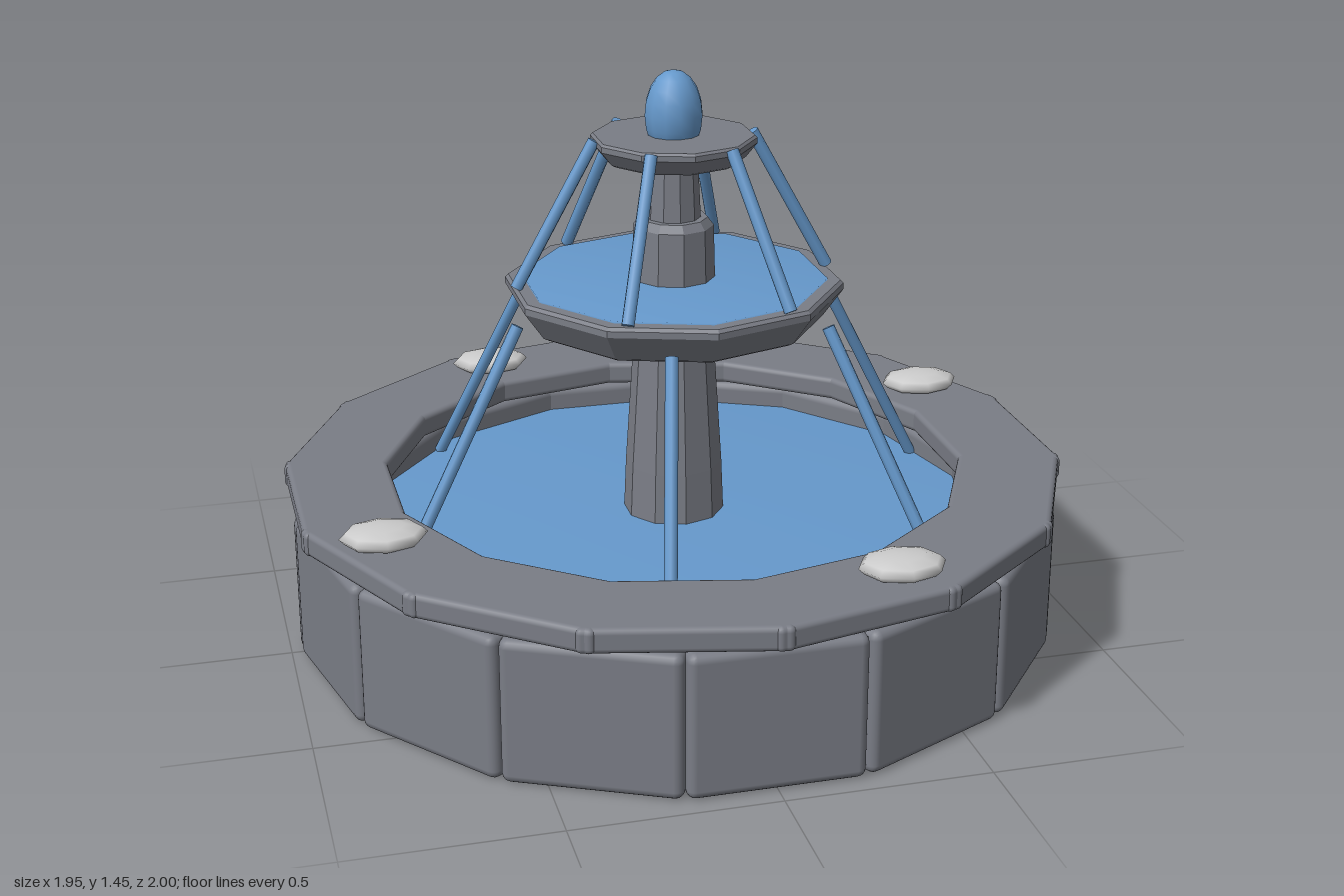
import * as THREE from 'three';
import { RoundedBoxGeometry } from 'three/addons/geometries/RoundedBoxGeometry.js';
import { mergeVertices } from 'three/addons/utils/BufferGeometryUtils.js';

const SIDES = 14;
const STEP = (Math.PI * 2) / SIDES;

export function createModel() {
  const model = new THREE.Group();
  model.name = 'fountain';

  const stone = new THREE.MeshStandardMaterial({ color: 0x7a7d86 });
  const cutStone = new THREE.MeshStandardMaterial({ color: 0x7a7d86, flatShading: true });
  const blue = new THREE.MeshStandardMaterial({ color: 0x6699cc });
  const white = new THREE.MeshStandardMaterial({ color: 0xf2f2f2 });

  const add = (name, geometry, material, parent = model) => {
    const mesh = new THREE.Mesh(geometry, material);
    mesh.name = name;
    parent.add(mesh);
    return mesh;
  };

  // Ring of rounded blocks whose outer faces lie at the given distance from the axis
  const blockRing = (name, outer, depth, width, bottom, top, radius, offset) => {
    const ring = new THREE.Group();
    ring.name = name;
    model.add(ring);
    const block = new RoundedBoxGeometry(width, top - bottom, depth, 2, radius);
    for (let i = 0; i < SIDES; i++) {
      const a = (i + offset) * STEP;
      const r = outer - depth / 2;
      const mesh = add(name + 'Block', block, stone, ring);
      mesh.position.set(Math.sin(a) * r, (bottom + top) / 2, Math.cos(a) * r);
      mesh.rotation.y = a;
    }
  };

  // Thin disc with softly rounded shading
  const softDisc = (name, radius, bottom, top, sides, material) => {
    let g = new THREE.CylinderGeometry(radius, radius, top - bottom, sides);
    g.deleteAttribute('normal');
    g.deleteAttribute('uv');
    g = mergeVertices(g);
    g.computeVertexNormals();
    add(name, g, material).position.y = (bottom + top) / 2;
  };

  // Ten-sided turned stone part from [radius, height] pairs, bottom to top
  const turned = (name, points) =>
    add(name, new THREE.LatheGeometry(points.map(([r, y]) => new THREE.Vector2(r, y)), 10), cutStone);

  // Six water jets between two [radius, height] ends
  const jets = (name, [r0, y0], [r1, y1], startAngle) => {
    const group = new THREE.Group();
    group.name = name;
    model.add(group);
    const length = Math.hypot(r1 - r0, y1 - y0);
    const jet = new THREE.CylinderGeometry(0.016, 0.016, length, 8);
    jet.rotateZ(Math.atan2(r1 - r0, y0 - y1));
    jet.translate((r0 + r1) / 2, (y0 + y1) / 2, 0);
    for (let i = 0; i < 6; i++) {
      add(name + 'Jet', jet, blue, group).rotation.y = -(startAngle + (i * Math.PI) / 3);
    }
  };

  // Pool: wall blocks, overlapping coping blocks, floor and water
  blockRing('poolWall', 0.955, 0.205, 0.424, 0, 0.362, 0.022, 0);
  blockRing('poolRim', 0.972, 0.255, 0.484, 0.368, 0.43, 0.014, 0.5);
  softDisc('poolFloor', 0.8, 0.008, 0.04, 28, stone);
  softDisc('poolWater', 0.8, 0.27, 0.3, 28, blue);

  // Central column in three tapering stages
  turned('lowerColumn', [[0, 0.26], [0.13, 0.26], [0.123, 0.43], [0.097, 0.83], [0, 0.83]]);
  turned('middleColumn', [[0, 0.88], [0.105, 0.88], [0.1, 1.06], [0.085, 1.08], [0, 1.08]]);
  turned('upperColumn', [[0, 1.07], [0.068, 1.07], [0.06, 1.235], [0, 1.235]]);

  // Middle basin and its water
  turned('middleBasin', [
    [0, 0.82], [0.36, 0.82], [0.375, 0.828], [0.425, 0.898], [0.425, 0.914],
    [0.417, 0.922], [0.385, 0.922], [0.37, 0.9], [0, 0.9],
  ]);
  softDisc('middleWater', 0.385, 0.895, 0.926, 10, blue);

  // Top plate and finial
  turned('topPlate', [
    [0, 1.228], [0.165, 1.228], [0.178, 1.235], [0.206, 1.27], [0.206, 1.284], [0.2, 1.29], [0, 1.29],
  ]);
  const finial = add('finial', new THREE.SphereGeometry(1, 12, 10), blue);
  finial.scale.set(0.073, 0.11, 0.073);
  finial.position.y = 1.34;

  // Falling water
  jets('upperJets', [0.2, 1.285], [0.4, 0.925], 0);
  jets('lowerJets', [0.435, 0.865], [0.745, 0.3], Math.PI / 4);

  // Four flattened lamps resting on the rim
  const lampShape = new THREE.SphereGeometry(1, 8, 6);
  for (let i = 0; i < 4; i++) {
    const a = THREE.MathUtils.degToRad(67) + (i * Math.PI) / 2;
    const lamp = add('rimLamp', lampShape, white);
    lamp.scale.set(0.106, 0.029, 0.082);
    lamp.position.set(Math.cos(a) * 0.862, 0.45, Math.sin(a) * 0.862);
  }

  return model;
}
